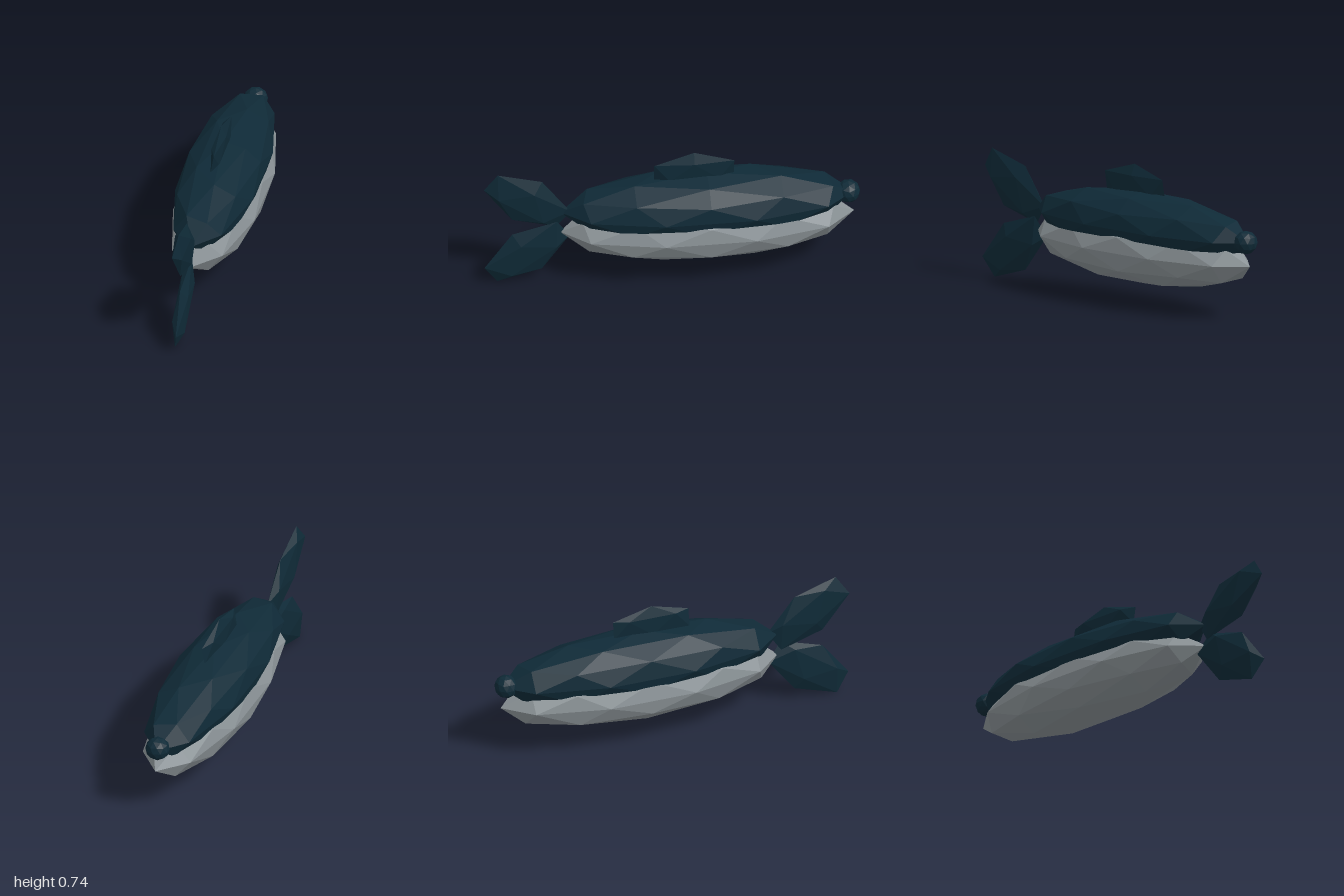
import * as THREE from 'three';

const dark = new THREE.MeshStandardMaterial({ color: 0x0f2a37 });
dark.name = 'deepBlue';
const pale = new THREE.MeshStandardMaterial({ color: 0x8b9397 });
pale.name = 'paleGrey';

// Faceted ellipsoid: an icosahedron stood on one corner, then stretched
function gem(name, material, detail, [rx, ry, rz], [x, y, z], tilt = 0) {
  const geo = new THREE.IcosahedronGeometry(1, detail);
  geo.rotateZ(-Math.atan2(2, 1 + Math.sqrt(5)));
  geo.scale(rx, ry, rz);
  geo.computeVertexNormals(); // unshared corners give flat facets
  const mesh = new THREE.Mesh(geo, material);
  mesh.name = name;
  mesh.position.set(x, y, z);
  mesh.rotation.x = tilt;
  return mesh;
}

export function createModel() {
  const fish = new THREE.Group();
  fish.name = 'fish';

  // Body: dark back overlapping a pale belly
  fish.add(gem('back', dark, 1, [0.22, 0.185, 0.78], [0, 0.42, -0.183]));
  fish.add(gem('belly', pale, 1, [0.232, 0.187, 0.782], [0, 0.296, -0.183]));

  // Snout at the head end
  fish.add(gem('snout', dark, 1, [0.065, 0.063, 0.063], [0, 0.423, -0.934]));

  // Dorsal fin
  fish.add(gem('dorsalFin', dark, 0, [0.03, 0.11, 0.25], [0, 0.63, -0.115]));

  // Tail: two lobes spread up and down
  for (const [name, side] of [['upperTailFin', 1], ['lowerTailFin', -1]]) {
    fish.add(gem(name, dark, 0, [0.036, 0.14, 0.275], [0, 0.346 + side * 0.163, 0.772], -side * 0.602));
  }
  return fish;
}
